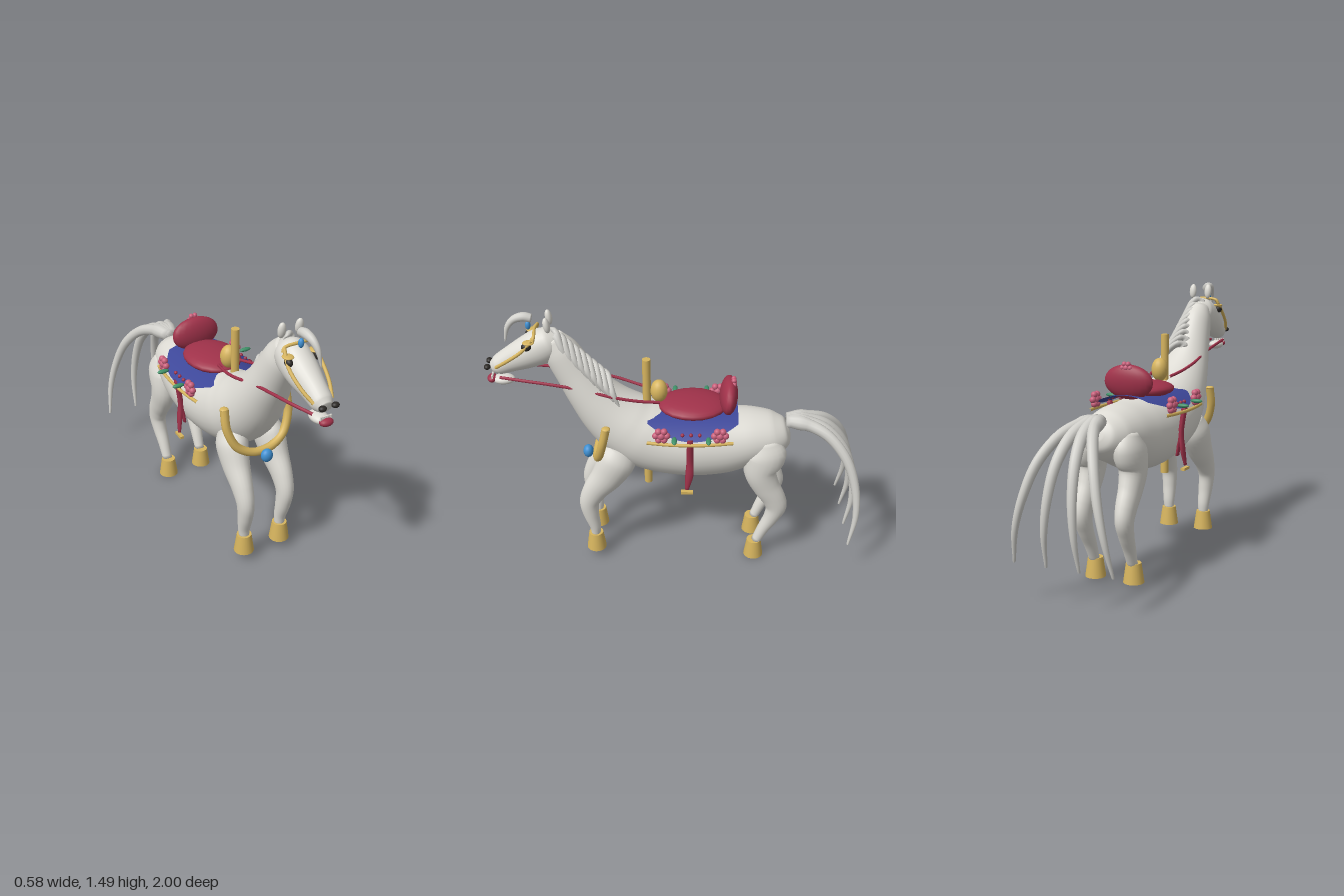
import * as THREE from 'three';
import { ParametricGeometry } from 'three/addons/geometries/ParametricGeometry.js';

const V = (x, y, z) => new THREE.Vector3(x, y, z);

// Smooth tapered solid through sections [x, y, z, halfWidth, halfDepth]
function loft(sections, steps = 40, sides = 20) {
  const path = new THREE.CatmullRomCurve3(sections.map(s => V(s[0], s[1], s[2])));
  const size = new THREE.CatmullRomCurve3(sections.map(s => V(s[3], s[4] ?? s[3], 0)));
  const pos = [], index = [], X = V(1, 0, 0);
  for (let i = -1; i <= steps + 1; i++) {
    const t = Math.min(1, Math.max(0, i / steps));
    const p = path.getPoint(t), r = size.getPoint(t);
    const T = path.getTangent(t).setX(0).normalize();
    const U = T.clone().cross(X);
    const k = i < 0 || i > steps ? 0.001 : 1; // closed ends
    for (let j = 0; j < sides; j++) {
      const a = (j / sides) * Math.PI * 2;
      const q = p.clone().addScaledVector(X, r.x * k * Math.cos(a)).addScaledVector(U, r.y * k * Math.sin(a));
      pos.push(q.x, q.y, q.z);
    }
  }
  for (let i = 0; i < steps + 2; i++) for (let j = 0; j < sides; j++) {
    const a = i * sides + j, b = i * sides + (j + 1) % sides;
    index.push(a, b, a + sides, b, b + sides, a + sides);
  }
  const g = new THREE.BufferGeometry();
  g.setAttribute('position', new THREE.Float32BufferAttribute(pos, 3));
  g.setIndex(index);
  g.computeVertexNormals();
  return g;
}

const tube = (pts, r, seg = 32) =>
  new THREE.TubeGeometry(new THREE.CatmullRomCurve3(pts.map(p => V(...p))), seg, r, 10);

export function createModel() {
  const root = new THREE.Group();
  root.name = 'carouselHorse';
  const mat = (name, color) => {
    const m = new THREE.MeshStandardMaterial({ color });
    m.name = name;
    return m;
  };
  const white = mat('ivory', 0xdddbd4), hair = mat('hair', 0xd0cfca), gold = mat('gold', 0xd6b45e);
  const red = mat('maroon', 0xa0324a), blue = mat('blue', 0x3d4799), pink = mat('pink', 0xc95f7b);
  const green = mat('green', 0x3f9068), gem = mat('gemBlue', 0x3f90d2), dark = mat('dark', 0x2c2926);
  blue.side = THREE.DoubleSide;

  const add = (name, geo, material, parent = root) => {
    const m = new THREE.Mesh(geo, material);
    m.name = name;
    parent.add(m);
    return m;
  };
  const ball = (name, material, p, r, parent = root) => {
    const m = add(name, new THREE.SphereGeometry(1, 20, 14), material, parent);
    m.position.set(...p);
    m.scale.set(...r);
    return m;
  };
  const flower = (name, p, r, axis) => {
    const g = new THREE.Group();
    g.name = name;
    g.position.set(...p);
    ball('flowerCentre', pink, [0, 0, 0], [r * 0.5, r * 0.5, r * 0.5], g);
    for (let i = 0; i < 6; i++) {
      const a = (i / 6) * Math.PI * 2, c = Math.cos(a) * r * 0.65, s = Math.sin(a) * r * 0.65;
      ball('petal', pink, axis === 'x' ? [0, s, c] : [c, s, 0], [r * 0.4, r * 0.4, r * 0.4], g);
    }
    root.add(g);
  };

  // Body and neck, rump to poll
  add('body', loft([
    [0, 0.79, -0.612, 0.03, 0.03], [0, 0.785, -0.595, 0.085, 0.075], [0, 0.77, -0.53, 0.135, 0.122],
    [0, 0.755, -0.4, 0.17, 0.158], [0, 0.73, -0.25, 0.19, 0.19], [0, 0.727, -0.08, 0.2, 0.202],
    [0, 0.745, 0.08, 0.195, 0.2], [0, 0.785, 0.2, 0.19, 0.195], [0, 0.845, 0.29, 0.175, 0.18],
    [0, 0.925, 0.375, 0.152, 0.155], [0, 1.035, 0.46, 0.127, 0.125], [0, 1.16, 0.535, 0.102, 0.105],
    [0, 1.275, 0.6, 0.085, 0.092], [0, 1.35, 0.645, 0.06, 0.06]], 70, 32), white);

  // Head and jaw
  add('head', loft([
    [0, 1.345, 0.6, 0.04, 0.04], [0, 1.325, 0.645, 0.075, 0.085], [0, 1.3, 0.7, 0.083, 0.096],
    [0, 1.262, 0.78, 0.078, 0.085], [0, 1.222, 0.865, 0.062, 0.067], [0, 1.19, 0.93, 0.054, 0.052],
    [0, 1.178, 0.96, 0.035, 0.032]], 36, 24), white);
  ball('lowerJaw', white, [0, 1.105, 0.91], [0.042, 0.026, 0.06]);
  ball('mouth', red, [0, 1.11, 0.97], [0.036, 0.02, 0.026]);
  for (let i = -2; i <= 2; i++) {
    add('tooth', new THREE.BoxGeometry(0.01, 0.02, 0.008), white).position.set(i * 0.013, 1.13, 0.965);
  }

  // Forelock and crown gem
  add('forelock', loft([
    [0, 1.46, 0.735, 0.022], [0, 1.468, 0.775, 0.024], [0.004, 1.455, 0.825, 0.02],
    [0.012, 1.415, 0.86, 0.014], [0.022, 1.34, 0.876, 0.004]], 24, 12), hair);
  ball('crownGem', gem, [-0.01, 1.415, 0.758], [0.014, 0.024, 0.014]);

  // Mane locks draped over the left side
  for (let i = 0; i < 9; i++) {
    const t = i / 8, z = 0.645 - 0.25 * t, y = 1.385 - 0.24 * t, w = 0.055 + 0.035 * t;
    add('maneLock', loft([
      [-0.02, y, z, 0.014], [0.02, y + 0.005, z - 0.025, 0.023],
      [w, y - 0.06, z - 0.055, 0.02], [w + 0.015, y - 0.15, z - 0.095, 0.004]], 14, 10), hair);
  }

  // Tail strands
  for (const k of [-1, -1 / 3, 1 / 3, 1]) {
    add('tailStrand', loft([
      [0.01 * k, 0.855, -0.59, 0.034], [0.04 * k, 0.85, -0.7, 0.034], [0.09 * k, 0.81, -0.81, 0.03],
      [0.15 * k, 0.7, -0.91, 0.027], [0.2 * k, 0.54, -0.967, 0.023],
      [0.24 * k, 0.38, -0.98, 0.017], [0.27 * k, 0.205, -0.95, 0.007]], 32, 12), hair);
  }

  // Pole and pommel
  add('pole', new THREE.CylinderGeometry(0.022, 0.022, 0.785, 20), gold).position.set(0, 0.832, 0.16);
  ball('pommel', gold, [0, 1.035, 0.095], [0.046, 0.064, 0.046]);

  // Saddle and blanket
  ball('saddleSeat', red, [0, 0.952, -0.085], [0.15, 0.045, 0.185]);
  ball('cantle', red, [0, 1.01, -0.275], [0.14, 0.092, 0.048]).rotation.x = -0.1;
  flower('cantleFlower', [0, 1.085, -0.3], 0.034, 'z');
  add('blanket', new ParametricGeometry((u, v, out) => {
    const s = 2 * v - 1, k = 2 * u - 1;
    const x = k * (0.235 - 0.095 * Math.pow(Math.abs(s), 2.2));
    out.set(x, 0.945 - 0.08 * Math.pow(Math.abs(x) / 0.235, 2), -0.085 + 0.24 * s);
  }, 24, 20), blue);

  // Chest collar
  add('collar', tube([[-0.185, 0.91, 0.37], [-0.183, 0.8, 0.395], [-0.14, 0.7, 0.42], [-0.07, 0.655, 0.435],
    [0, 0.645, 0.44], [0.07, 0.655, 0.435], [0.14, 0.7, 0.42], [0.183, 0.8, 0.395], [0.185, 0.91, 0.37]],
    0.023, 60), gold);
  for (const s of [-1, 1]) ball('collarEnd', gold, [s * 0.185, 0.91, 0.37], [0.023, 0.01, 0.023]);
  ball('collarGem', gem, [0, 0.643, 0.49], [0.033, 0.037, 0.028]);

  // Bridle bands over the brow and the muzzle
  add('browBand', tube([[-0.085, 1.37, 0.725], [-0.075, 1.39, 0.72], [0, 1.4, 0.725], [0.075, 1.39, 0.72],
    [0.085, 1.37, 0.725]], 0.008), gold);

  for (const s of [-1, 1]) {
    // Face
    ball('ear', white, [s * 0.048, 1.443, 0.655], [0.021, 0.042, 0.018]).rotation.x = 0.15;
    ball('eye', dark, [s * 0.077, 1.335, 0.762], [0.018, 0.021, 0.026]);
    ball('browPlate', gold, [s * 0.073, 1.358, 0.75], [0.028, 0.008, 0.03]);
    ball('nostril', dark, [s * 0.035, 1.196, 0.982], [0.02, 0.014, 0.017]);
    add('cheekStrap', tube([[s * 0.075, 1.39, 0.72], [s * 0.088, 1.32, 0.78], [s * 0.076, 1.25, 0.87],
      [s * 0.05, 1.2, 0.935]], 0.009), gold);
    add('rein', tube([[s * 0.04, 1.135, 0.92], [s * 0.08, 1.14, 0.8], [s * 0.095, 1.125, 0.65],
      [s * 0.098, 1.095, 0.49], [s * 0.105, 1.055, 0.33], [s * 0.085, 1.02, 0.2], [s * 0.06, 0.998, 0.09]],
      0.008), red);

    // Legs and hooves
    add('frontLeg', loft([
      [s * 0.1, 0.74, 0.29, 0.06, 0.08], [s * 0.112, 0.66, 0.325, 0.08, 0.105], [s * 0.118, 0.56, 0.38, 0.07, 0.09],
      [s * 0.122, 0.465, 0.45, 0.055, 0.07], [s * 0.122, 0.38, 0.487, 0.046, 0.055],
      [s * 0.118, 0.29, 0.482, 0.041, 0.044], [s * 0.114, 0.2, 0.464, 0.034, 0.032],
      [s * 0.112, 0.15, 0.462, 0.028, 0.026]], 40, 20), white);
    add('hindLeg', loft([
      [s * 0.1, 0.79, -0.47, 0.05, 0.07], [s * 0.11, 0.7, -0.475, 0.075, 0.118], [s * 0.118, 0.6, -0.455, 0.07, 0.09],
      [s * 0.12, 0.5, -0.49, 0.06, 0.075], [s * 0.12, 0.42, -0.535, 0.053, 0.066],
      [s * 0.12, 0.355, -0.555, 0.047, 0.06], [s * 0.118, 0.28, -0.535, 0.041, 0.045],
      [s * 0.114, 0.19, -0.492, 0.034, 0.034], [s * 0.112, 0.1, -0.455, 0.028, 0.027]], 40, 20), white);
    const hoof = new THREE.CylinderGeometry(0.04, 0.055, 0.105, 24);
    add('frontHoof', hoof, gold).position.set(s * 0.112, 0.1025, 0.462);
    add('hindHoof', hoof, gold).position.set(s * 0.112, 0.0525, -0.442);

    // Blanket trim, flowers, leaves and studs
    add('blanketTrim', tube([[s * 0.222, 0.85, 0.155], [s * 0.236, 0.848, 0.04], [s * 0.24, 0.847, -0.07],
      [s * 0.236, 0.848, -0.18], [s * 0.222, 0.85, -0.295]], 0.009), gold);
    for (const z of [0.08, -0.225]) flower('sideFlower', [s * 0.225, 0.898, z], 0.045, 'x');
    for (const z of [0.012, -0.165]) {
      ball('leaf', green, [s * 0.258, 0.888, z], [0.034, 0.011, 0.014]);
    }
    for (const z of [-0.03, -0.075, -0.12]) ball('stud', red, [s * 0.205, 0.888, z], [0.01, 0.01, 0.01]);

    // Stirrup leathers and stirrup
    add('stirrupLeather', loft([
      [s * 0.23, 0.87, -0.07, 0.012, 0.016], [s * 0.208, 0.72, -0.07, 0.012, 0.018],
      [s * 0.215, 0.64, -0.068, 0.012, 0.022], [s * 0.225, 0.55, -0.055, 0.008, 0.011]], 20, 8), red);
    add('girthStrap', loft([
      [s * 0.222, 0.87, -0.07, 0.012, 0.016], [s * 0.205, 0.74, -0.07, 0.012, 0.018],
      [s * 0.185, 0.6, -0.07, 0.008, 0.016]], 16, 8), red);
    add('stirrup', new THREE.BoxGeometry(0.022, 0.014, 0.065), gold).position.set(s * 0.224, 0.53, -0.055);
  }
  return root;
}
